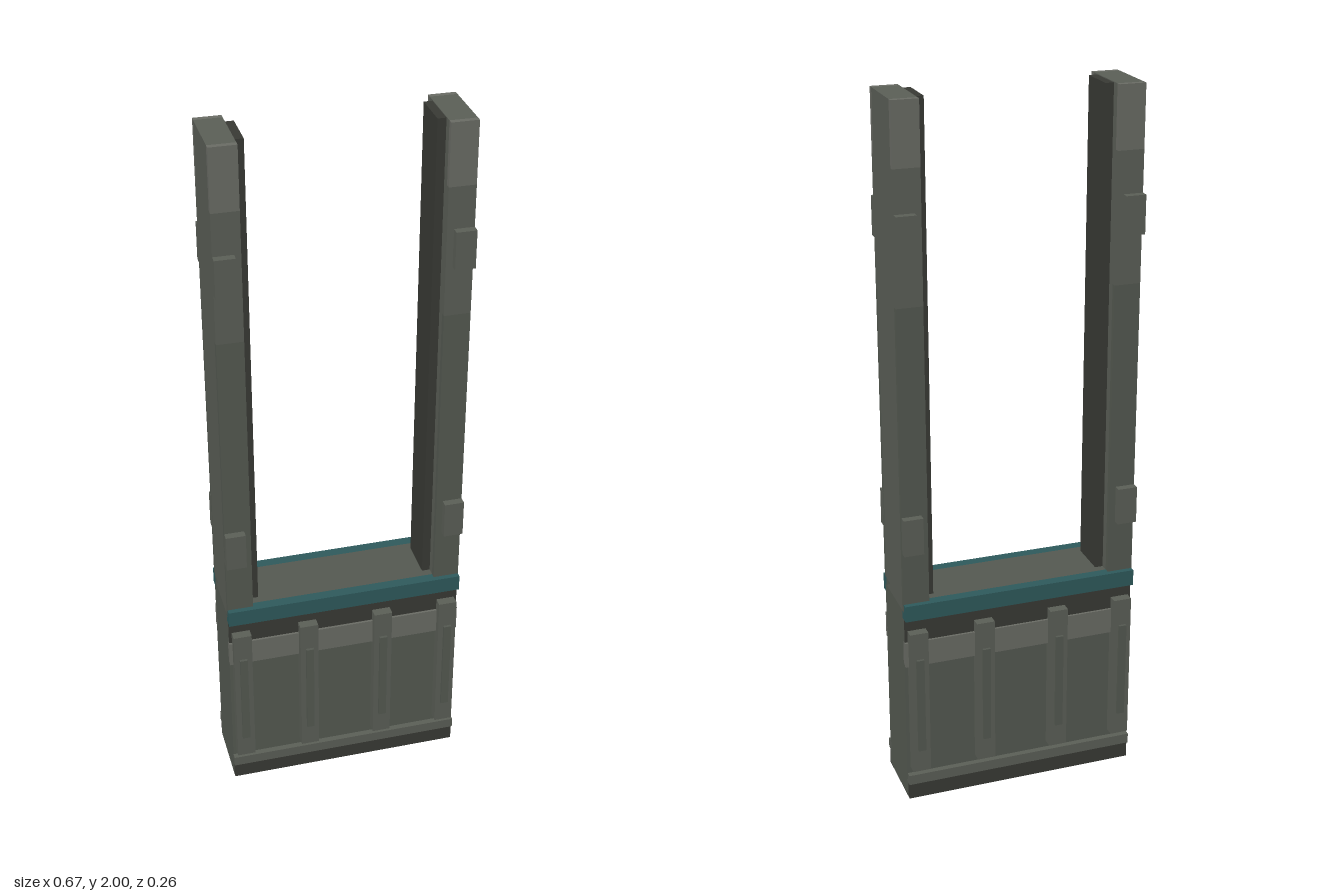
import * as THREE from 'three';

const mat = (color) => new THREE.MeshStandardMaterial({ color, flatShading: true });

export function createModel() {
  const model = new THREE.Group();
  const grey = mat(0x555a52), mid = mat(0x5c6058), light = mat(0x6b6d66);
  const dark = mat(0x393a35), teal = mat(0x2f5b5d);

  // Box given by its lower and upper limits on each axis
  const box = (name, material, x0, x1, y0, y1, z0, z1, parent = model) => {
    const mesh = new THREE.Mesh(new THREE.BoxGeometry(x1 - x0, y1 - y0, z1 - z0), material);
    mesh.position.set((x0 + x1) / 2, (y0 + y1) / 2, (z0 + z1) / 2);
    mesh.name = name;
    parent.add(mesh);
  };
  const W = 0.337;

  // Wall core, sill and dark foot
  box('wall', grey, -W, W, 0.004, 0.6, -0.09, 0.09);
  box('sill', grey, -W, W, 0.6, 0.624, -0.08, 0.08);
  box('foot', dark, -W + 0.001, W - 0.001, 0, 0.05, -0.1, 0.1);

  // Trim, bands and ribs, the same on front and back
  for (const side of [1, -1]) {
    const face = new THREE.Group();
    face.name = side > 0 ? 'frontFace' : 'backFace';
    if (side < 0) face.rotation.y = Math.PI;
    model.add(face);
    box('tealTrim', teal, -W, W, 0.577, 0.624, 0.08, 0.11, face);
    box('upperRecess', dark, -W + 0.001, W - 0.001, 0.505, 0.577, 0.08, 0.093, face);
    box('upperBand', light, -W, W, 0.43, 0.505, 0.08, 0.1, face);
    box('lowerBand', mid, -W, W, 0.05, 0.08, 0.08, 0.107, face);
    for (const x of [-0.302, -0.109, 0.109, 0.302]) {
      box('rib', mid, x - 0.026, x + 0.026, 0.1, 0.54, 0.08, 0.12, face);
      box('ribRidge', grey, x - 0.011, x + 0.011, 0.17, 0.46, 0.11, 0.128, face);
    }
  }

  // Posts with inner rails, banded faces and clamps
  for (const side of [1, -1]) {
    const post = new THREE.Group();
    post.name = side > 0 ? 'leftPost' : 'rightPost';
    if (side < 0) post.rotation.y = Math.PI;
    model.add(post);
    box('postCore', mid, 0.264, W, 0.6, 2, -0.08, 0.08, post);
    box('innerRail', dark, 0.241, 0.266, 0.62, 1.998, -0.057, 0.057, post);
    for (const s of [1, -1]) {
      const strip = (name, m, y0, y1, a, b, x0) =>
        box(name, m, x0, W, y0, y1, Math.min(a * s, b * s), Math.max(a * s, b * s), post);
      strip('postFace', grey, 0.6, 1.47, 0.08, 0.095, 0.264);
      strip('postFaceUpper', mid, 1.47, 1.83, 0.08, 0.095, 0.264);
      strip('postFaceTop', light, 1.83, 2, 0.08, 0.095, 0.264);
      for (const y of [0.832, 1.662]) strip('clamp', mid, y - 0.053, y + 0.053, 0.085, 0.117, 0.282);
    }
  }
  return model;
}
